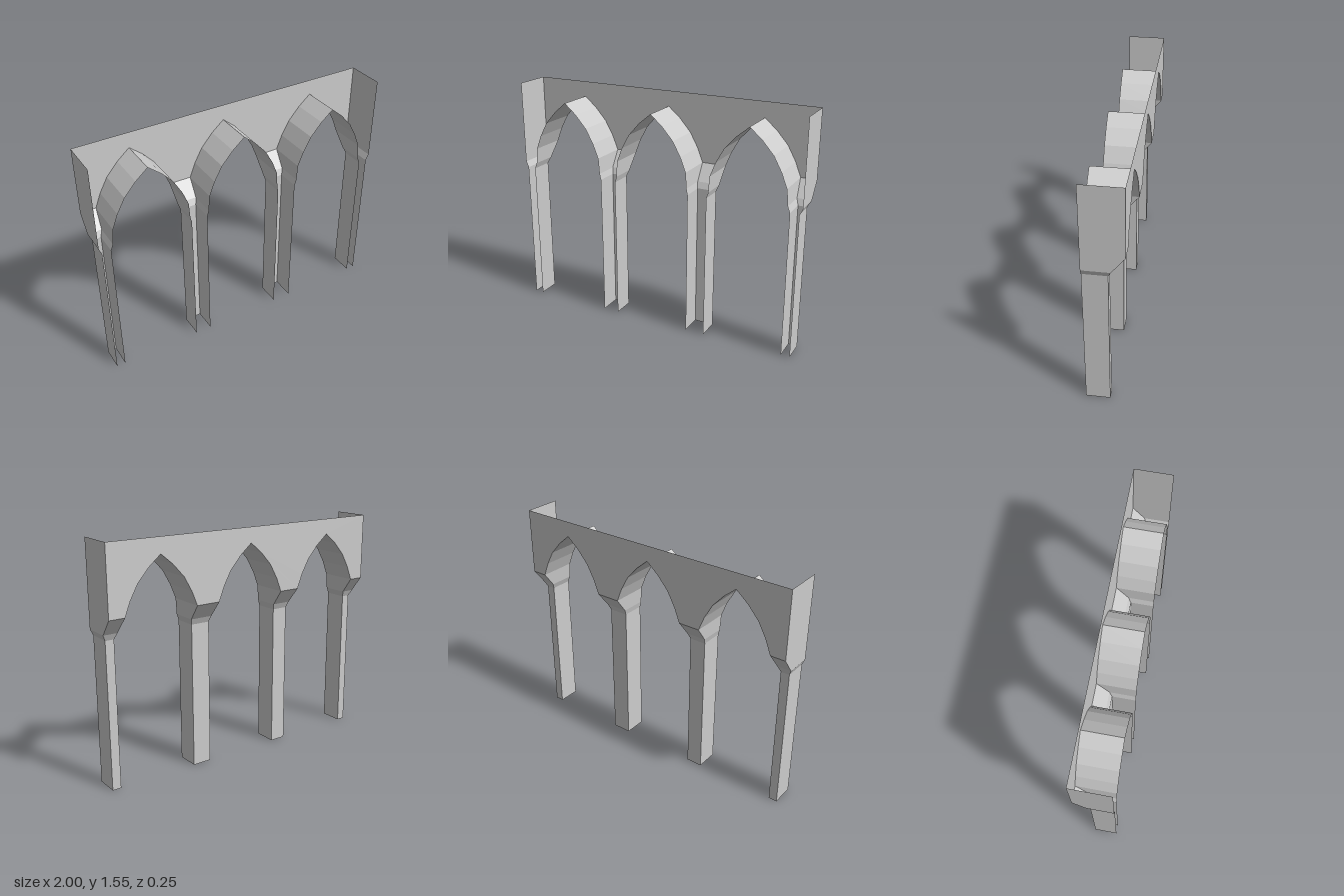
import * as THREE from 'three';

const stone = new THREE.MeshStandardMaterial({ color: 0xcccccc, side: THREE.DoubleSide, flatShading: true });
stone.name = 'stone grey';

const FRONT = 0.125, BACK = -0.125, TOP = 1.55, SPRING = 1.105;
const arches = [-0.652, -0.011, 0.648];
// half of a pointed arch: distance from its centre, height
const half = [[0.248, SPRING], [0.21, 1.2], [0.157, 1.295], [0.081, 1.38], [0, 1.448]];
const archCurve = c => [
  ...half.map(([d, y]) => [c - d, y]),
  ...half.slice(0, -1).reverse().map(([d, y]) => [c + d, y]),
];

// flat-shaded skin over rows of points
function skin(rows) {
  const pos = [];
  for (let r = 0; r < rows.length - 1; r++) {
    for (let i = 0; i < rows[r].length - 1; i++) {
      const a = rows[r][i], b = rows[r][i + 1], c = rows[r + 1][i + 1], d = rows[r + 1][i];
      pos.push(...a, ...b, ...c, ...a, ...c, ...d);
    }
  }
  const g = new THREE.BufferGeometry();
  g.setAttribute('position', new THREE.Float32BufferAttribute(pos, 3));
  g.computeVertexNormals();
  return g;
}

export function createModel() {
  const model = new THREE.Group();
  model.name = 'arcade';
  const add = (name, geometry) => {
    const m = new THREE.Mesh(geometry, stone);
    m.name = name;
    model.add(m);
    return m;
  };

  // back wall with the three arches cut from its lower edge, turned to face backwards
  const outline = [[-1, TOP], [-1, SPRING], ...arches.flatMap(archCurve), [1, SPRING], [1, TOP]];
  const wall = add('backWall', new THREE.ShapeGeometry(
    new THREE.Shape(outline.map(([x, y]) => new THREE.Vector2(-x, y)))));
  wall.rotation.y = Math.PI;
  wall.position.z = BACK;

  // undersides of the arches
  for (const c of arches) {
    add('archSoffit', skin(archCurve(c).map(([x, y]) => [[x, y, FRONT], [x, y, BACK]])));
  }

  // end walls
  for (const s of [-1, 1]) {
    add('endWall', skin([TOP, SPRING].map(y => [[s, y, -s * FRONT], [s, y, s * FRONT]])));
  }

  // pillars, open at the front, each with a corbel: left and right x at the
  // springing, the corbel foot and the shaft
  const pillars = [
    [[-1, -0.9], [-1, -0.91], [-0.983, -0.926]],
    [[-0.404, -0.259], [-0.397, -0.266], [-0.387, -0.278]],
    [[0.237, 0.4], [0.243, 0.394], [0.252, 0.381]],
    [[0.896, 1], [0.907, 1], [0.922, 0.98]],
  ];
  const section = ([l, r], y, z) => [[l, y, FRONT], [l, y, z], [r, y, z], [r, y, FRONT]];
  for (const [spring, foot, shaft] of pillars) {
    add('corbel', skin([
      section(spring, SPRING, BACK), section(foot, 1.0, -0.044), section(shaft, 0.96, -0.026)]));
    add('pillarShaft', skin([section(shaft, 0.96, -0.026), section(shaft, 0, -0.026)]));
  }
  return model;
}
